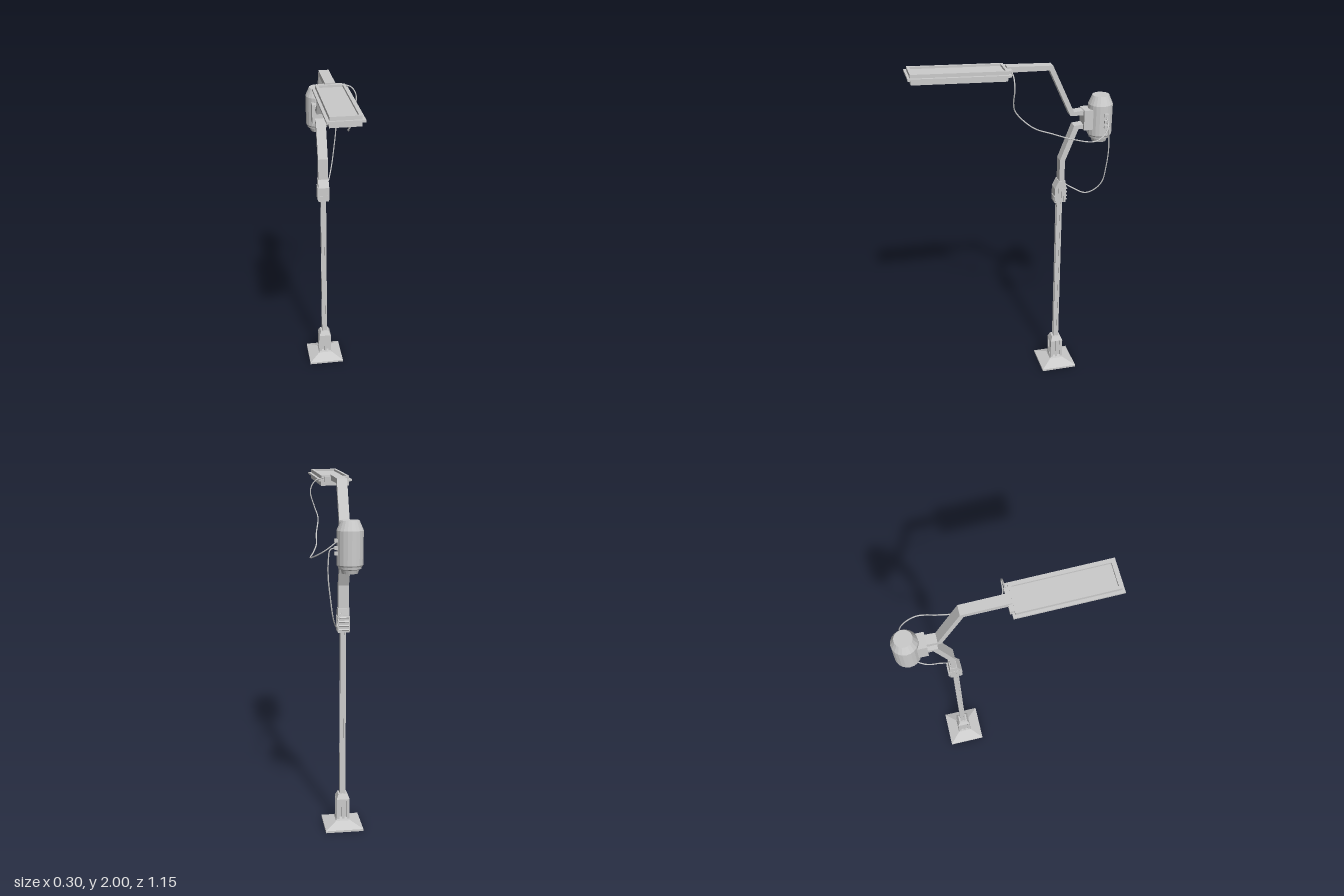
import * as THREE from 'three';

const mat = new THREE.MeshStandardMaterial({ color: 0xcccccc, flatShading: true });
const smooth = new THREE.MeshStandardMaterial({ color: 0xcccccc });

function add(parent, name, geo, x = 0, y = 0, z = 0, material = mat) {
  const m = new THREE.Mesh(geo, material);
  m.name = name;
  m.position.set(x, y, z);
  parent.add(m);
  return m;
}
const box = (w, h, d) => new THREE.BoxGeometry(w, h, d);

// Square frustum standing between two heights
function frustum(parent, name, y0, h0, y1, h1) {
  const g = new THREE.CylinderGeometry(h1 * Math.SQRT2, h0 * Math.SQRT2, y1 - y0, 4).rotateY(Math.PI / 4);
  return add(parent, name, g, 0, (y0 + y1) / 2, 0);
}

// Side profile in (z, y) extruded across x
function profile(points, width) {
  const s = new THREE.Shape(points.map(([z, y]) => new THREE.Vector2(-z, y)));
  return new THREE.ExtrudeGeometry(s, { depth: width, bevelEnabled: false })
    .translate(0, 0, -width / 2).rotateY(Math.PI / 2);
}

// Flat rectangular ring lying in the xz plane, from y0 to y1
function frame(hw, hl, iw, il, y0, y1) {
  const rect = (C, a, b) => {
    const p = new C();
    p.moveTo(-a, -b); p.lineTo(a, -b); p.lineTo(a, b); p.lineTo(-a, b); p.closePath();
    return p;
  };
  const s = rect(THREE.Shape, hw, hl);
  s.holes.push(rect(THREE.Path, iw, il));
  return new THREE.ExtrudeGeometry(s, { depth: y1 - y0, bevelEnabled: false })
    .rotateX(-Math.PI / 2).translate(0, y0, 0);
}

function cable(parent, name, pts) {
  const curve = new THREE.CatmullRomCurve3(pts.map(p => new THREE.Vector3(...p)));
  add(parent, name, new THREE.TubeGeometry(curve, 70, 0.0038, 6), 0, 0, 0, smooth);
}

export function createModel() {
  const model = new THREE.Group();
  model.name = 'streetLamp';
  const cx = -0.045;

  // Mast: foot, socket, grooved pole and collar share one axis
  const mast = new THREE.Group();
  mast.name = 'mast';
  mast.position.set(cx, 0, -0.275);
  model.add(mast);
  frustum(mast, 'basePlate', 0, 0.108, 0.012, 0.108);
  frustum(mast, 'baseSlope', 0.012, 0.108, 0.04, 0.042);
  frustum(mast, 'socketFlare', 0.04, 0.042, 0.06, 0.034);
  frustum(mast, 'socketCore', 0.04, 0.031, 0.17, 0.031);
  frustum(mast, 'socketCap', 0.17, 0.038, 0.198, 0.026);
  for (const i of [-1, 1]) {
    for (const j of [-1, 1]) {
      add(mast, 'socketCorner', box(0.016, 0.13, 0.016), i * 0.03, 0.105, j * 0.03);
      add(mast, 'poleCorner', box(0.011, 0.98, 0.011), i * 0.0105, 0.68, j * 0.0105);
    }
    add(mast, 'socketRib', box(0.008, 0.13, 0.014), i * 0.034, 0.105, 0);
    add(mast, 'socketRib', box(0.014, 0.13, 0.008), 0, 0.105, i * 0.034);
  }
  frustum(mast, 'poleCore', 0.19, 0.0125, 1.17, 0.0125);

  // Collar with sloped shoulder, side ribs, front plate and rear louvres
  add(mast, 'collar', profile([[0.035, 1.155], [0.035, 1.245], [0.012, 1.29],
    [-0.028, 1.29], [-0.033, 1.25], [-0.033, 1.155]], 0.064));
  for (const s of [-1, 1]) {
    for (const z of [-0.024, -0.008, 0.008, 0.024]) {
      add(mast, 'collarRib', box(0.005, 0.085, 0.008), s * 0.033, 1.203, z);
    }
  }
  add(mast, 'collarPlate', box(0.046, 0.025, 0.006), 0, 1.182, 0.035);
  for (let i = 0; i < 4; i++) {
    const l = add(mast, 'collarLouvre', box(0.056, 0.006, 0.014), 0, 1.172 + i * 0.023, -0.034);
    l.rotation.x = -0.5;
  }

  // Bent arms
  add(model, 'lowerArm', profile([[-0.267, 1.25], [-0.267, 1.42], [-0.345, 1.622], [-0.41, 1.628],
    [-0.41, 1.6], [-0.372, 1.603], [-0.297, 1.415], [-0.297, 1.25]], 0.058), cx);
  add(model, 'upperArm', profile([[-0.41, 1.71], [-0.342, 1.703], [-0.215, 1.978], [0.04, 1.988],
    [0.04, 1.957], [-0.197, 1.952], [-0.322, 1.682], [-0.41, 1.68]], 0.056), cx);

  // Bracket between the arms and the tank
  add(model, 'tankBracket', box(0.088, 0.115, 0.06), cx, 1.653, -0.428);

  // Tank
  const r = [[0, 1.515], [0.042, 1.515], [0.048, 1.535], [0.06, 1.54], [0.062, 1.553], [0.066, 1.553],
    [0.07, 1.56], [0.07, 1.735], [0.048, 1.785], [0, 1.785]];
  add(model, 'tank', new THREE.LatheGeometry(r.map(p => new THREE.Vector2(...p)), 20), cx, 0, -0.504);
  for (const y of [1.62, 1.648, 1.685]) {
    add(model, 'tankConnector', box(0.03, 0.018, 0.022), 0.022, y, -0.517);
  }

  // Lamp head: tray frames above and below a wide flange, tilted slightly up at the front
  const head = new THREE.Group();
  head.name = 'lampHead';
  head.position.set(cx, 1.965, 0.304);
  head.rotation.x = -0.035;
  model.add(head);
  add(head, 'flange', box(0.19, 0.011, 0.55));
  add(head, 'topFrame', frame(0.079, 0.262, 0.064, 0.247, 0.005, 0.025), 0, 0, 0);
  add(head, 'topPanel', box(0.13, 0.008, 0.496), 0, 0.009, 0);
  add(head, 'bottomFrame', frame(0.08, 0.258, 0.066, 0.244, -0.031, -0.005));
  add(head, 'lightPanel', box(0.134, 0.008, 0.49), 0, -0.01, 0);
  add(head, 'rearMount', box(0.13, 0.03, 0.026), 0, 0.008, -0.272);

  // Cables
  cable(model, 'headCable', [[0.01, 1.972, 0.025], [0.07, 1.955, 0.025], [0.098, 1.9, 0.026],
    [0.075, 1.81, 0.028], [0.058, 1.755, 0.01], [0.078, 1.67, -0.08], [0.09, 1.628, -0.19],
    [0.12, 1.597, -0.3], [0.147, 1.585, -0.41], [0.122, 1.605, -0.475], [0.075, 1.64, -0.515],
    [0.02, 1.683, -0.518]]);
  cable(model, 'mastCable', [[0.02, 1.648, -0.517], [0.058, 1.64, -0.52], [0.069, 1.58, -0.522],
    [0.07, 1.5, -0.525], [0.058, 1.39, -0.52], [0.043, 1.29, -0.505], [0.025, 1.235, -0.465],
    [0.008, 1.213, -0.415], [-0.01, 1.24, -0.35], [-0.03, 1.268, -0.3]]);
  return model;
}
